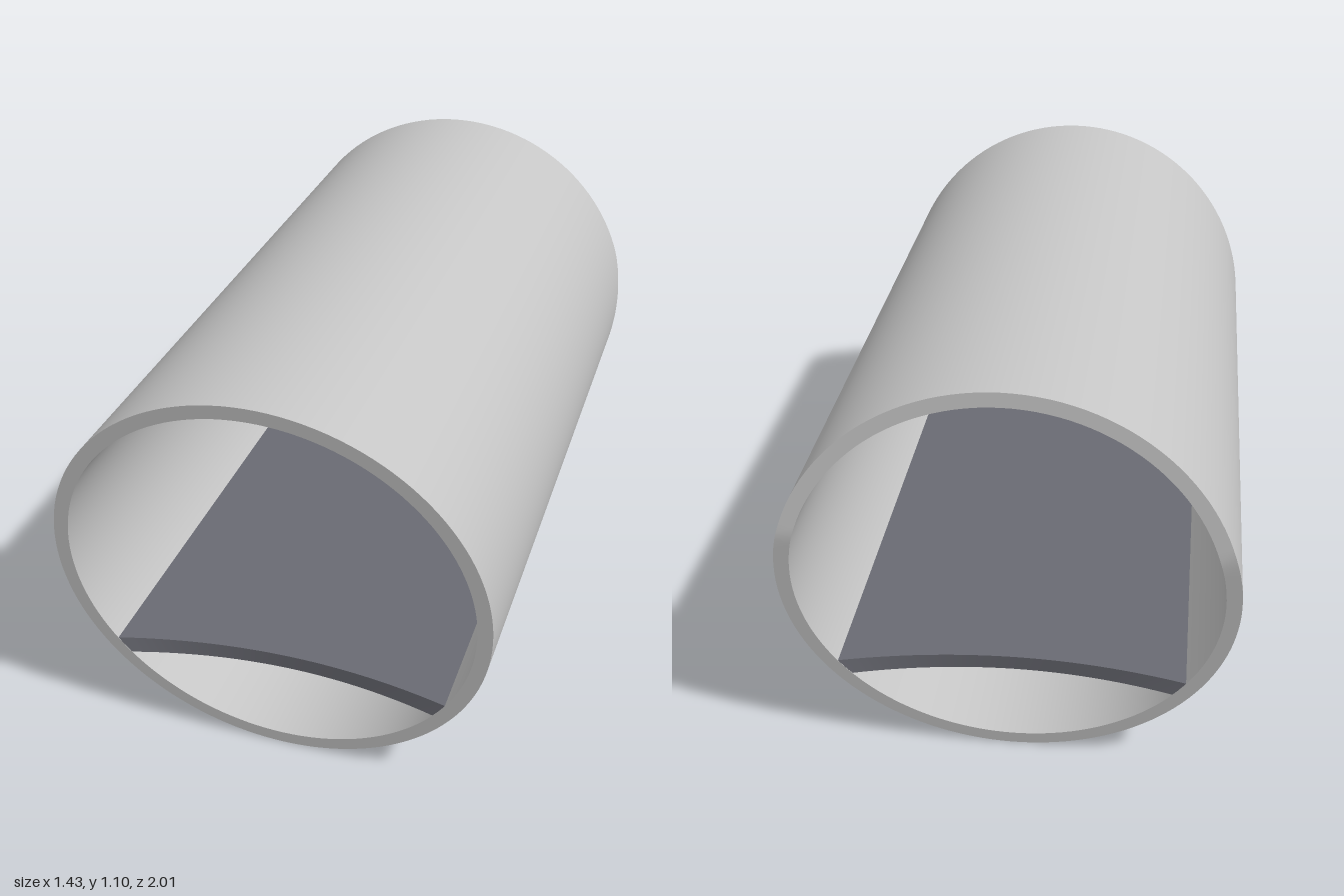
import * as THREE from 'three';
import { mergeGeometries } from 'three/addons/utils/BufferGeometryUtils.js';

const R = 0.552;   // outer radius, also the height of the axis
const r = 0.515;   // inner radius

// Slanted cut of each end, as a distance along the axis at height y
const frontCut = (y) => 0.816 + 0.139 * y;
const backCut = (y) => -0.913 + 0.211 * Math.max(0, 0.7 - y);

function mapVertices(geometry, rule) {
  const p = geometry.attributes.position;
  for (let i = 0; i < p.count; i++) {
    p.setXYZ(i, ...rule(p.getX(i), p.getY(i), p.getZ(i)));
  }
  return geometry;
}

// Pipe: outer wall, front rim, inner wall and back rim, each with its own hard edges
function pipeGeometry() {
  const profile = [[R, -1], [R, 1], [r, 1], [r, -1]];
  const strips = profile.map((a, i) => {
    const b = profile[(i + 1) % 4];
    const g = new THREE.LatheGeometry([new THREE.Vector2(...a), new THREE.Vector2(...b)], 128);
    g.rotateX(Math.PI / 2).translate(0, R, 0);
    mapVertices(g, (x, y, z) => [x, y, z > 0 ? frontCut(y) : backCut(y)]);
    if (i % 2) g.computeVertexNormals();
    return g;
  });
  return mergeGeometries(strips);
}

// Floor: a slab fitted to the inner wall, with shallow hollow ends
function floorGeometry() {
  const g = new THREE.BoxGeometry(2, 0.045, 2, 24, 1, 1);
  g.translate(0, 0.2525, 0);
  mapVertices(g, (u, y, z) => {
    const half = Math.sqrt(r * r - (R - y) ** 2) + 0.004;
    const hollow = 0.06 * (1 - u * u);
    return [u * half, y, z > 0 ? frontCut(y) - hollow : backCut(y) + hollow];
  });
  g.computeVertexNormals();
  return g;
}

export function createModel() {
  const concrete = new THREE.MeshStandardMaterial({ name: 'lightGrey', color: 0xc6c6c6 });
  const deck = new THREE.MeshStandardMaterial({ name: 'slateGrey', color: 0x6a6b73 });

  const pipe = new THREE.Mesh(pipeGeometry(), concrete);
  pipe.name = 'pipe';
  const floor = new THREE.Mesh(floorGeometry(), deck);
  floor.name = 'floor';

  // The whole pipe is turned a little about the vertical
  const tunnel = new THREE.Group();
  tunnel.name = 'tunnel';
  tunnel.rotation.y = -0.198;
  tunnel.add(pipe, floor);

  const model = new THREE.Group();
  model.name = 'tunnelSection';
  model.add(tunnel);
  return model;
}
